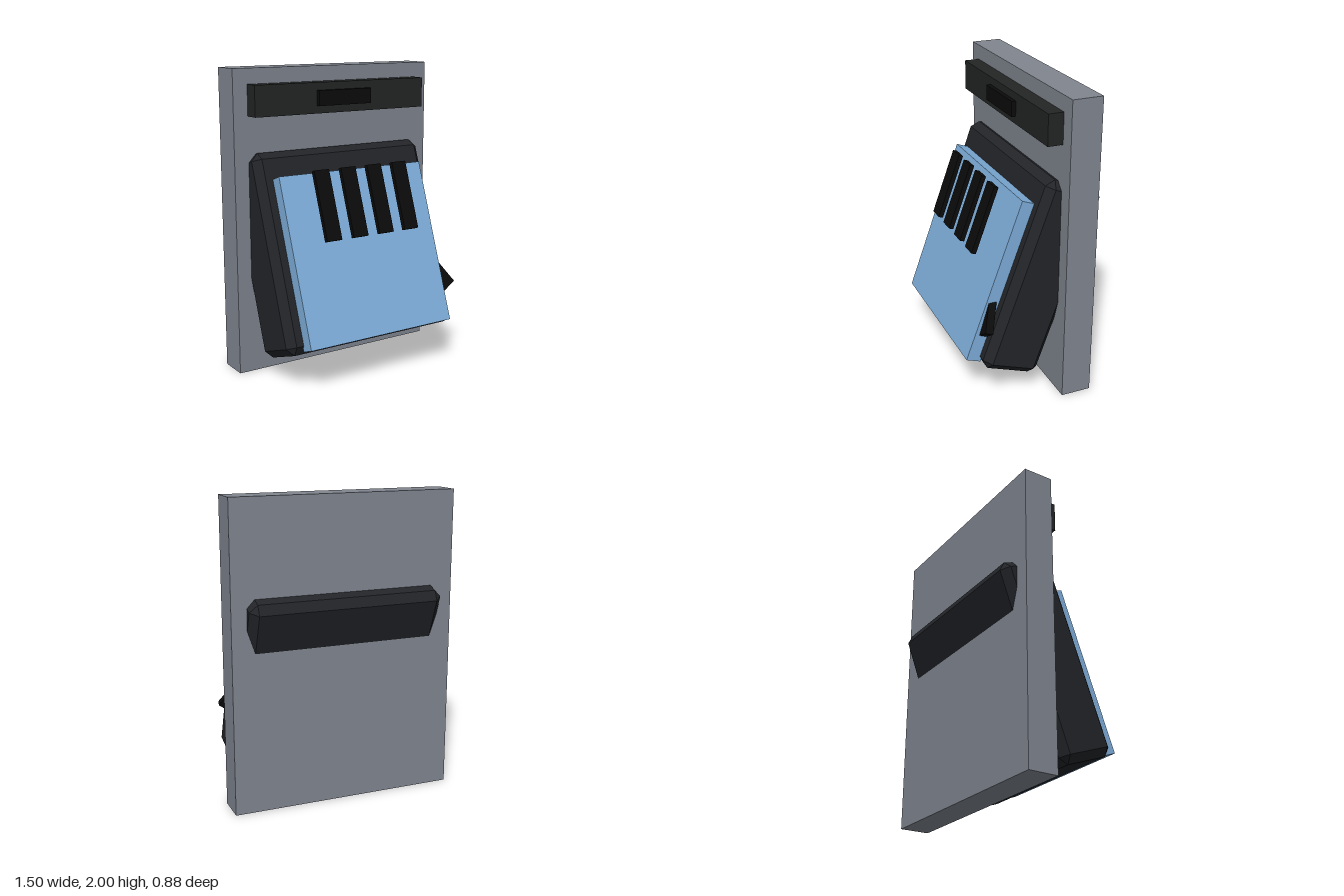
import * as THREE from 'three';
import { ConvexGeometry } from 'three/addons/geometries/ConvexGeometry.js';

const TILT = -Math.PI / 9;

const mat = (color) => new THREE.MeshStandardMaterial({ color, flatShading: true });

// Box with every edge chamfered and each corner cut to a triangle
function chamferBox(w, h, d, c) {
  const pts = [];
  for (const sx of [-1, 1]) for (const sy of [-1, 1]) for (const sz of [-1, 1])
    for (let out = 0; out < 3; out++) {
      const p = [w, h, d].map((s, i) => s / 2 - (i === out ? 0 : c));
      pts.push(new THREE.Vector3(sx * p[0], sy * p[1], sz * p[2]));
    }
  return new ConvexGeometry(pts);
}

export function createModel() {
  const group = new THREE.Group();
  const panelGrey = mat(0x80858f), charcoal = mat(0x222428), stripGrey = mat(0x232525);
  const black = mat(0x0b0b0b), blue = mat(0x7dadd9);

  const add = (name, geometry, material, x, y, z, tilt = 0) => {
    const mesh = new THREE.Mesh(geometry, material);
    mesh.name = name;
    mesh.position.set(x, y, z);
    mesh.rotation.x = tilt;
    group.add(mesh);
    return mesh;
  };
  const box = (w, h, d) => new THREE.BoxGeometry(w, h, d);

  // Upright backing panel
  add('backPanel', box(1.5, 2, 0.2), panelGrey, 0, 1, -0.247);

  // Strip and slot across the top
  add('topStrip', box(1.3, 0.2, 0.1), stripGrey, 0, 1.8, -0.097);
  add('slot', box(0.4, 0.1, 0.03), black, 0, 1.8, -0.032);

  // Leaning housing that passes through the panel, and its screen
  add('housing', chamferBox(1.3, 1.3, 0.4, 0.05), charcoal, 0, 0.802, -0.046, TILT);
  add('screen', box(1.1, 1.1, 0.1), blue, 0, 0.802, 0.204, TILT);

  // Four bars floating ahead of the screen
  for (const x of [-0.3, -0.1, 0.1, 0.3])
    add('bar', box(0.11, 0.455, 0.031), black, x, 1.153, 0.228, TILT);

  // Thin pointer turned sideways, its corner sticking out of the screen edge
  const pointer = add('pointer', box(0.2, 0.3, 0.05), black, 0.494, 0.586, 0.275);
  pointer.rotation.set(TILT, 0, THREE.MathUtils.degToRad(35), 'ZYX');

  return group;
}
